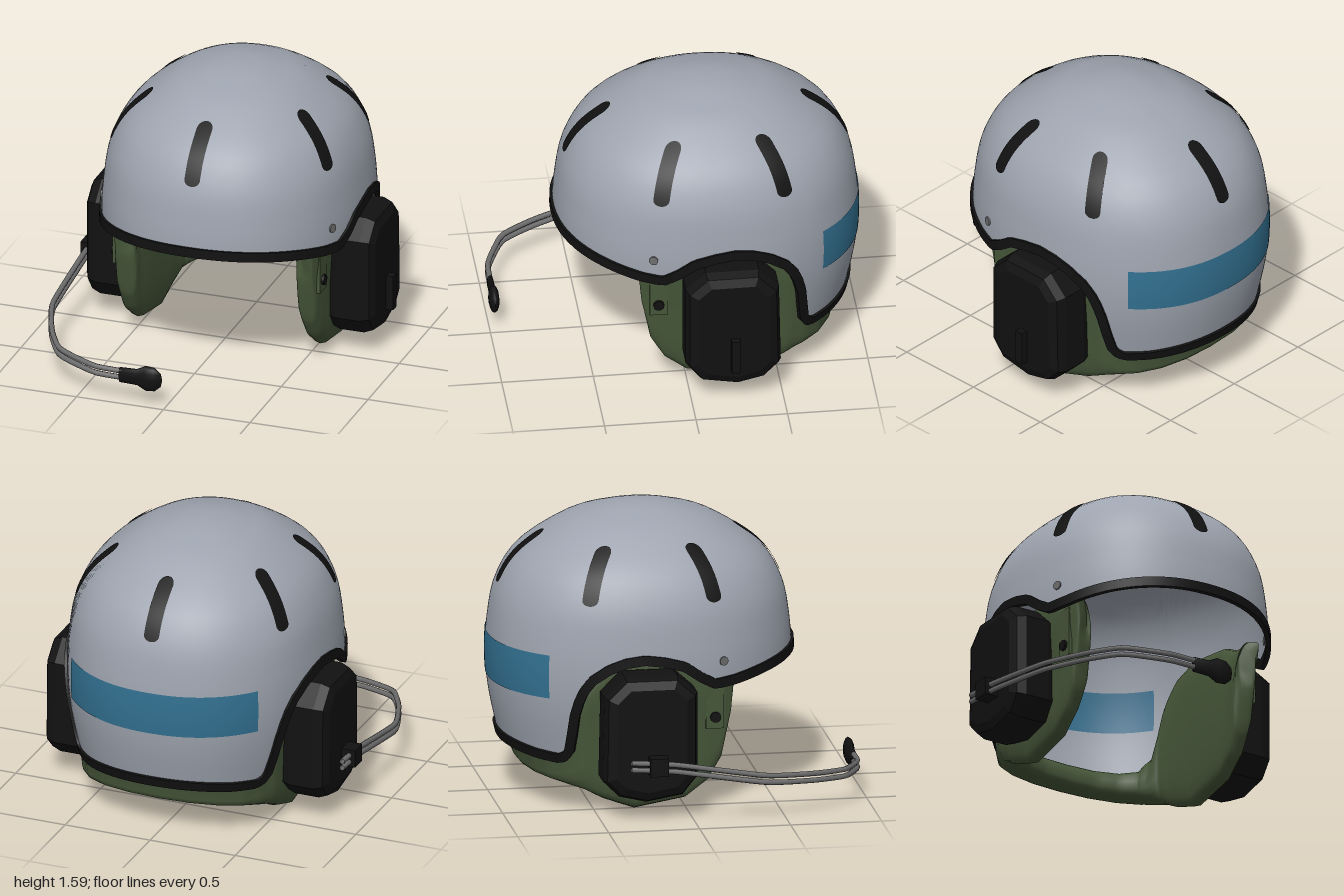
import * as THREE from 'three';
import { mergeVertices, toCreasedNormals } from 'three/addons/utils/BufferGeometryUtils.js';

const V2 = (x, y) => new THREE.Vector2(x, y);
const V3 = (x, y, z) => new THREE.Vector3(x, y, z);

function makeMaterial(name, color) {
  const m = new THREE.MeshStandardMaterial({ color, side: THREE.DoubleSide });
  m.name = name;
  return m;
}

function addMesh(parent, name, geometry, material) {
  const mesh = new THREE.Mesh(geometry, material);
  mesh.name = name;
  parent.add(mesh);
  return mesh;
}

// Surface from a rule fn(u, v), u and v in 0..1; seams are welded
function grid(nu, nv, fn) {
  const pos = [], index = [];
  for (let i = 0; i <= nu; i++)
    for (let j = 0; j <= nv; j++) pos.push(...fn(i / nu, j / nv).toArray());
  for (let i = 0; i < nu; i++)
    for (let j = 0; j < nv; j++) {
      const a = i * (nv + 1) + j, b = a + nv + 1;
      index.push(a, a + 1, b, b, a + 1, b + 1);
    }
  let g = new THREE.BufferGeometry();
  g.setAttribute('position', new THREE.Float32BufferAttribute(pos, 3));
  g.setIndex(index);
  g = mergeVertices(g, 1e-5);
  g.computeVertexNormals();
  return g;
}

function lerpTable(table, x) {
  for (let i = 1; i < table.length; i++) {
    const [x0, y0] = table[i - 1], [x1, y1] = table[i];
    if (x >= x1) return THREE.MathUtils.mapLinear(Math.min(x, x0), x0, x1, y0, y1);
  }
  return table[table.length - 1][1];
}

// Shell form: a dome profile (radius fraction, height) over a rounded oval plan
const CZ = -0.17;
const profile = new THREE.SplineCurve([
  V2(0, 1.59), V2(0.15, 1.582), V2(0.31, 1.552), V2(0.52, 1.49), V2(0.8, 1.33),
  V2(0.935, 1.15), V2(0.985, 0.95), V2(1, 0.75), V2(0.98, 0.55), V2(0.925, 0.33), V2(0.9, 0.26)]);
const planRadius = (t) =>
  (Math.abs(Math.cos(t) / 0.72) ** 2.2 + Math.abs(Math.sin(t) / 0.83) ** 2.2) ** (-1 / 2.2);

function profileAt(y) {
  let lo = 0, hi = 1;
  for (let i = 0; i < 30; i++) {
    const mid = (lo + hi) / 2;
    if (profile.getPoint(mid).y > y) lo = mid; else hi = mid;
  }
  return lo;
}

function shellPoint(t, u) {
  const p = profile.getPoint(u), r = planRadius(t) * p.x;
  return V3(r * Math.cos(t), p.y, CZ + r * Math.sin(t));
}

function shellNormal(t, u) {
  const e = 0.004, p = shellPoint(t, u);
  const n = shellPoint(t + e, u).sub(shellPoint(t - e, u))
    .cross(shellPoint(t, Math.min(1, u + e)).sub(shellPoint(t, u - e))).normalize();
  return n.dot(p.sub(V3(0, 0.8, CZ))) < 0 ? n.negate() : n;
}

const onShell = (t, y, lift) => {
  const u = profileAt(y);
  return shellPoint(t, u).addScaledVector(shellNormal(t, u), lift);
};

// Lower rim height by front-to-back position: brow, ear arch, nape
const rim = [[0.67, 0.8], [0.45, 0.765], [0.25, 0.73], [0.14, 0.72], [0.06, 0.765], [-0.03, 0.83],
  [-0.14, 0.86], [-0.25, 0.875], [-0.35, 0.86], [-0.44, 0.825], [-0.53, 0.76], [-0.585, 0.68], [-0.62, 0.58],
  [-0.66, 0.39], [-0.68, 0.325], [-0.73, 0.295], [-0.85, 0.305], [-1, 0.33]];
const rimHeight = (t) => lerpTable(rim, CZ + planRadius(t) * Math.sin(t));

// Liner path: outer x, z, bottom y, top y, thickness (left half)
const linerHalf = [
  [0.56, 0.265, 0.66, 0.78, 0.08], [0.57, 0.25, 0.5, 0.78, 0.11], [0.58, 0.2, 0.27, 0.77, 0.12],
  [0.585, 0.12, 0.14, 0.78, 0.12], [0.59, 0, 0.05, 0.84, 0.13], [0.585, -0.28, 0, 0.88, 0.13],
  [0.585, -0.45, 0.06, 0.83, 0.14], [0.575, -0.56, 0.11, 0.7, 0.15], [0.53, -0.65, 0.135, 0.4, 0.16],
  [0.46, -0.74, 0.155, 0.33, 0.16], [0.34, -0.81, 0.165, 0.32, 0.15], [0.18, -0.85, 0.17, 0.32, 0.14]];
const linerPath = [...linerHalf, [0, -0.86, 0.17, 0.32, 0.14],
  ...linerHalf.slice().reverse().map(([x, ...rest]) => [-x, ...rest])];

function linerAt(s) {
  const f = s * (linerPath.length - 1), i = Math.min(Math.floor(f), linerPath.length - 2);
  return linerPath[i].map((v, k) => THREE.MathUtils.lerp(v, linerPath[i + 1][k], f - i));
}

function linerPoint(s, v) {
  // the two ends close to a point
  const end = s <= 0 || s >= 1;
  const [x, z, y0, y1, thick] = linerAt(s);
  const a = linerAt(Math.max(0, s - 0.02)), b = linerAt(Math.min(1, s + 0.02));
  const inward = V2(b[1] - a[1], a[0] - b[0]).normalize();
  if (inward.x * x + inward.y * (z + 0.2) > 0) inward.negate();
  const ang = v * Math.PI * 2, c = Math.cos(ang), d = Math.sin(ang);
  const k = end ? 0 : 1;
  const across = Math.sign(c) * Math.abs(c) ** 0.6 * k, up = Math.sign(d) * Math.abs(d) ** 0.6 * k;
  const off = thick * (0.5 + 0.5 * across) - (up > 0 ? 0.03 * up : 0);
  return V3(x + inward.x * off, (y0 + y1) / 2 + up * (y1 - y0) / 2, z + inward.y * off);
}

export function createModel() {
  const model = new THREE.Group();
  model.name = 'helmet';
  const grey = makeMaterial('shell grey', 0x9ea4af);
  const black = makeMaterial('black rubber', 0x111111);
  const green = makeMaterial('liner green', 0x465639);
  const blue = makeMaterial('stripe blue', 0x327090);
  const metal = makeMaterial('boom metal', 0x6c6c6c);
  const TAU = Math.PI * 2;

  const body = new THREE.Group();
  body.name = 'helmetBody';
  body.position.x = 0.02;
  model.add(body);

  // Shell
  addMesh(body, 'shell', grid(180, 28, (a, v) => {
    const t = (a % 1) * TAU;
    return shellPoint(t, v * profileAt(rimHeight(t)));
  }), grey);

  // Rubber edge trim: a flat band following the rim
  const rimPoint = (t) => shellPoint(t, profileAt(rimHeight(t)));
  const trim = grid(180, 4, (a, v) => {
    const t = (a % 1) * TAU, p = rimPoint(t);
    const n = shellNormal(t, profileAt(rimHeight(t)));
    const tangent = rimPoint(t + 0.02).sub(rimPoint(t - 0.02)).normalize();
    const side = tangent.cross(n).normalize();
    const [i, j] = [[-1, -1], [1, -1], [1, 1], [-1, 1]][Math.round(v * 4) % 4];
    return p.addScaledVector(n, 0.014 * i).addScaledVector(side, 0.027 * j);
  });
  addMesh(body, 'edgeTrim', toCreasedNormals(trim, 0.8), black);

  // Rear stripe, seen on the outside and the inside
  for (const [name, lift] of [['rearStripe', 0.004], ['rearStripeInside', -0.004]])
    addMesh(body, name, grid(40, 8, (a, v) => {
      const half = Math.atan2(0.55, 0.58);
      return onShell(-Math.PI / 2 + (a * 2 - 1) * half, 0.64 + 0.24 * v, lift);
    }), blue);

  // Six vent slots with rounded ends
  for (const deg of [90, -90, 27, 153, -31, 211]) {
    const t0 = THREE.MathUtils.degToRad(deg);
    addMesh(body, 'ventSlot', grid(24, 4, (a, v) => {
      const s = -Math.cos(a * Math.PI), y = 1.3 + 0.14 * s;
      const past = Math.max(0, (Math.abs(s) - 0.78) / 0.22);
      const half = 0.044 * Math.sqrt(Math.max(0, 1 - past * past));
      const r = planRadius(t0) * profile.getPoint(profileAt(y)).x;
      return onShell(t0 + (v * 2 - 1) * half / r, y, 0.006);
    }), black);
  }

  // Padded liner: ear flaps joined by the nape pad
  addMesh(body, 'liner', grid(96, 20, (a, v) => linerPoint(a, v % 1)), green);

  // Ear cups and side fittings; outline points are z, y
  const outline = [[-0.08, 0.8], [-0.37, 0.8], [-0.48, 0.69], [-0.49, 0.22], [-0.4, 0.13],
    [-0.25, 0.095], [-0.05, 0.13], [0.03, 0.23], [0.03, 0.7]];
  for (const side of [1, -1]) {
    const label = side > 0 ? 'left' : 'right';
    const shape = new THREE.Shape(outline.map(([z, y]) => V2(-side * z, y)));
    const cupGeo = new THREE.ExtrudeGeometry(shape, {
      depth: 0.14, bevelThickness: 0.07, bevelSize: 0.065, bevelOffset: -0.065, bevelSegments: 2 });
    const cup = addMesh(body, label + 'EarCup', cupGeo, black);
    cup.rotation.y = side * Math.PI / 2;
    cup.position.x = side * 0.62;

    const strap = addMesh(body, label + 'StrapPlate', new THREE.BoxGeometry(0.02, 0.28, 0.1), green);
    strap.position.set(side * 0.588, 0.585, 0.155);

    const stud = addMesh(body, label + 'StrapStud', new THREE.CylinderGeometry(0.03, 0.03, 0.02, 10), black);
    stud.rotation.z = Math.PI / 2;
    stud.position.set(side * 0.602, 0.51, 0.157);

    // Rivet lying on the shell
    const t = Math.atan2(0.36, side * 0.66), u = profileAt(0.84), n = shellNormal(t, u);
    const rivet = addMesh(body, label + 'Rivet', new THREE.CylinderGeometry(0.025, 0.025, 0.012, 12), metal);
    rivet.position.copy(shellPoint(t, u)).addScaledVector(n, 0.002);
    rivet.quaternion.setFromUnitVectors(V3(0, 1, 0), n);
  }

  // Ear cup grip on the left, boom mount on the right
  const grip = addMesh(model, 'earCupGrip', new THREE.BoxGeometry(0.06, 0.2, 0.05), black);
  grip.position.set(0.86, 0.31, -0.235);
  const mount = addMesh(model, 'boomMount', new THREE.BoxGeometry(0.1, 0.1, 0.1), black);
  mount.position.set(-0.84, 0.32, -0.2);

  // Twin-rod boom
  for (const dy of [0.019, -0.019]) {
    const path = new THREE.CatmullRomCurve3([
      V3(-0.855, 0.325, -0.35), V3(-0.855, 0.305, -0.1), V3(-0.855, 0.225, 0.39), V3(-0.76, 0.2, 0.67),
      V3(-0.645, 0.185, 0.86), V3(-0.41, 0.165, 0.965), V3(-0.2, 0.16, 0.97)
    ].map((p) => p.add(V3(0, dy, 0))), false, 'catmullrom', 0.25);
    addMesh(model, 'boomRod', new THREE.TubeGeometry(path, 36, 0.015, 8), metal);
  }

  // Flattened microphone
  const micProfile = [[0, 0], [0.045, 0], [0.048, 0.1], [0.074, 0.15], [0.07, 0.2], [0.04, 0.235], [0, 0.245]];
  const mic = addMesh(model, 'microphone',
    new THREE.LatheGeometry(micProfile.map(([r, y]) => V2(r, y)), 12), black);
  mic.rotation.z = -Math.PI / 2;
  mic.scale.z = 0.4;
  mic.position.set(-0.262, 0.157, 0.97);

  return model;
}
